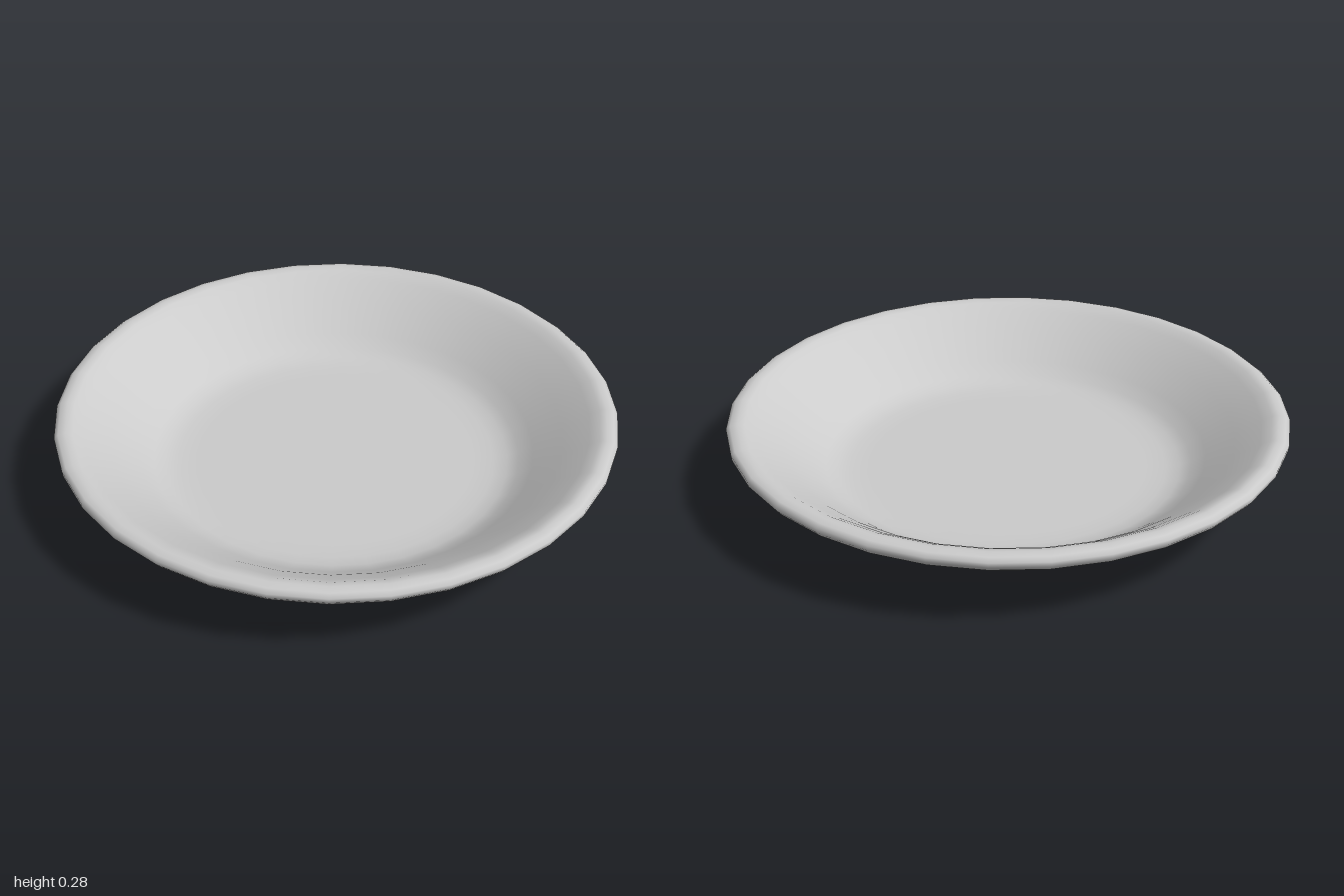
import * as THREE from 'three';

export function createModel() {
  const group = new THREE.Group();
  const material = new THREE.MeshStandardMaterial({ color: 0xcccccc });

  // Closed cross-section: underside, outer wall, rounded rim, inner wall, floor
  const profile = [
    [0, 0], [0.5, 0], [0.59, 0.008], [0.64, 0.018], [0.685, 0.037], [0.74, 0.073],
    [0.84, 0.143], [0.95, 0.21], [0.985, 0.233],
    [0.998, 0.25], [1, 0.268], [0.985, 0.28], [0.96, 0.285], [0.935, 0.28],
    [0.9, 0.26], [0.81, 0.2], [0.71, 0.124], [0.66, 0.09], [0.62, 0.073],
    [0.57, 0.065], [0.5, 0.063], [0, 0.063],
  ].map(([r, y]) => new THREE.Vector2(r, y));

  const dish = new THREE.Mesh(new THREE.LatheGeometry(profile, 32), material);
  dish.name = 'dish';
  group.add(dish);
  return group;
}
